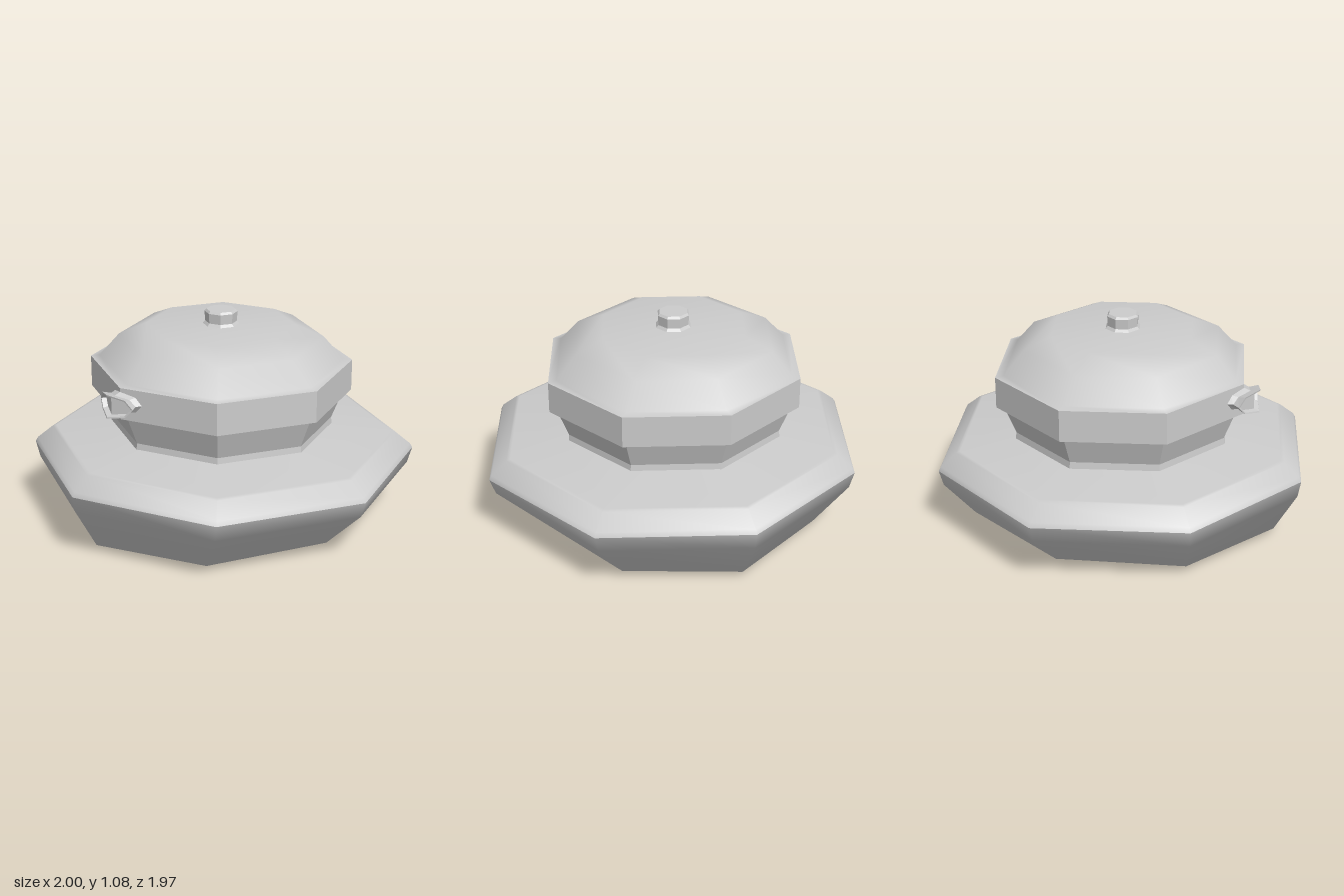
import * as THREE from 'three';

const SIDES = 8;

// Eight-sided turned part; the profile is a list of [radius, height, depth radius if different].
function turned(name, profile, flat = false) {
  const points = profile.map(([r, y]) => new THREE.Vector2(r, y));
  const geometry = new THREE.LatheGeometry(points, SIDES);
  const position = geometry.attributes.position;
  for (let i = 0; i < position.count; i++) {
    const [r, , depth = r] = profile[i % profile.length];
    if (r > 0) position.setZ(i, position.getZ(i) * depth / r);
  }
  const material = new THREE.MeshStandardMaterial({ color: 0xcccccc, flatShading: flat });
  const mesh = new THREE.Mesh(geometry, material);
  mesh.name = name;
  return mesh;
}

// Oval eight-sided spout, its rings bent to follow the corner of the collar.
function buildSpout() {
  // [half width, half height, z at the middle]
  const rings = [
    [0.1, 0.05, 0.63], [0.112, 0.055, 0.668], [0.098, 0.045, 0.7],
    [0.123, 0.062, 0.752], [0.114, 0.054, 0.75], [0.104, 0.047, 0.722],
  ];
  const positions = [];
  const index = [];
  rings.forEach(([rx, ry, z]) => {
    for (let i = 0; i < SIDES; i++) {
      const a = (i / SIDES) * Math.PI * 2;
      const x = Math.cos(a) * rx;
      positions.push(x, Math.sin(a) * ry, z - Math.abs(x) * 0.5);
    }
  });
  for (let k = 0; k < rings.length - 1; k++) {
    for (let i = 0; i < SIDES; i++) {
      const j = (i + 1) % SIDES;
      const a = k * SIDES + i, b = k * SIDES + j;
      index.push(a, b, b + SIDES, a, b + SIDES, a + SIDES);
    }
  }
  // recessed front panel
  const last = (rings.length - 1) * SIDES;
  const centre = positions.length / 3;
  positions.push(0, 0, rings[rings.length - 1][2]);
  for (let i = 0; i < SIDES; i++) index.push(centre, last + i, last + ((i + 1) % SIDES));

  const geometry = new THREE.BufferGeometry();
  geometry.setAttribute('position', new THREE.Float32BufferAttribute(positions, 3));
  geometry.setIndex(index);
  geometry.computeVertexNormals();
  const mesh = new THREE.Mesh(geometry,
    new THREE.MeshStandardMaterial({ color: 0xcccccc, flatShading: true }));
  mesh.name = 'spout';
  mesh.position.set(-0.013, 0.737, 0);
  return mesh;
}

export function createModel() {
  const model = new THREE.Group();
  model.name = 'liddedPot';

  // Wide base: bowl with a foot that is deeper than wide, shoulder and hollow underside
  const base = new THREE.Group();
  base.name = 'base';
  base.scale.z = 0.985;
  base.add(
    turned('foot', [[0.64, 0, 0.75], [0.67, 0.005, 0.78], [0.755, 0.035, 0.865]]),
    turned('bowl', [[0.755, 0.035, 0.865], [0.97, 0.25, 0.985], [1, 0.335]]),
    turned('shoulder', [[1, 0.335], [0.987, 0.358], [0.905, 0.424], [0.885, 0.429], [0.56, 0.465]]),
    turned('cavity', [[0, 0.8], [0.28, 0.8], [0.64, 0, 0.75]], true),
  );

  // Neck, collar, dome and knob sit slightly off the base's axis
  const upper = new THREE.Group();
  upper.name = 'upper';
  upper.position.x = -0.014;
  upper.scale.z = 0.98;
  upper.add(
    turned('neck', [[0.585, 0.455], [0.58, 0.495], [0.638, 0.642]], true),
    turned('collar', [[0.6, 0.64], [0.65, 0.643], [0.68, 0.65], [0.68, 0.812]], true),
    turned('dome', [[0.68, 0.812], [0.635, 0.818], [0.53, 0.935], [0.385, 0.997], [0, 1]]),
    turned('knob', [[0.096, 0.997], [0.082, 1.013], [0.085, 1.064],
      [0.075, 1.075], [0, 1.075]], true),
  );

  model.add(base, upper, buildSpout());
  return model;
}
